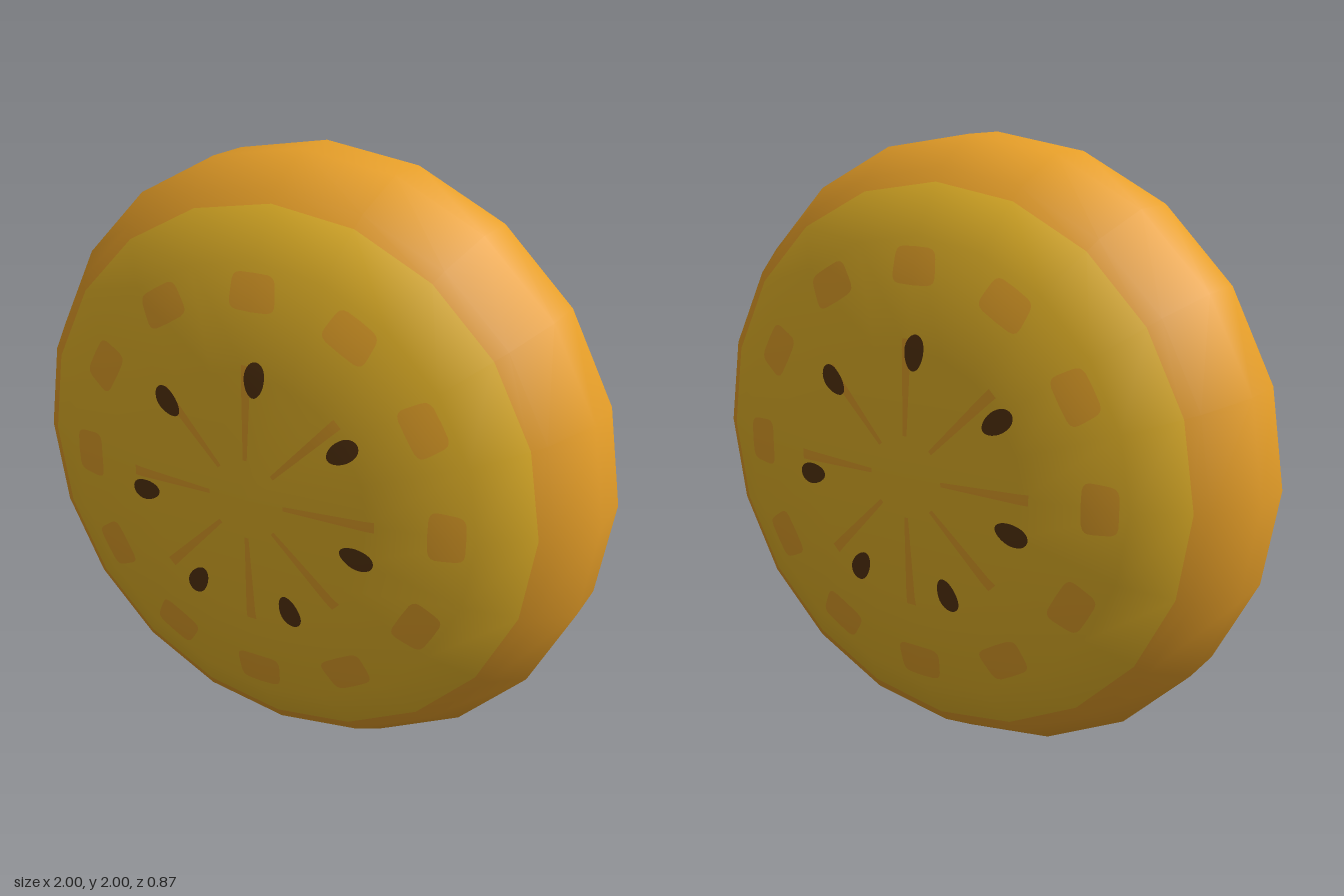
import * as THREE from 'three';

const SIDES = 20, FLESH_R = 0.87;
// half profile from centre of a face to the rim: [radius, depth]
const PROFILE = [[0, 0.435], [0.4, 0.412], [0.72, 0.352], [0.91, 0.23], [1, 0.08]];
const { lerp } = THREE.MathUtils;

const material = (name, color) => {
  const m = new THREE.MeshStandardMaterial({ color });
  m.name = name;
  return m;
};

// smooth profile normals, averaged from neighbouring segments
const segNormals = PROFILE.slice(1).map(([r, z], i) =>
  new THREE.Vector2(PROFILE[i][1] - z, r - PROFILE[i][0]).normalize());
segNormals.push(new THREE.Vector2(1, 0));
const normals = PROFILE.map((_, i) =>
  i === 0 ? new THREE.Vector2(0, 1) : segNormals[i - 1].clone().add(segNormals[i]).normalize());

// depth and normal of the face at a given profile radius
function sample(r) {
  let i = 0;
  while (i < PROFILE.length - 2 && r > PROFILE[i + 1][0]) i++;
  const [r0, z0] = PROFILE[i], [r1, z1] = PROFILE[i + 1];
  const t = Math.min(1, (r - r0) / (r1 - r0));
  return { z: lerp(z0, z1, t), n: normals[i].clone().lerp(normals[i + 1], t).normalize() };
}

// profile radius of a point on the many-sided body
function profileRadius(x, y) {
  const step = 2 * Math.PI / SIDES;
  const a = Math.atan2(y, x) + 2 * Math.PI;
  return Math.hypot(x, y) * Math.cos((a % step) - step / 2) / Math.cos(step / 2);
}

// rounded disc, split into rind and flesh
function makeBody(rind, flesh) {
  const half = [...PROFILE.slice(0, 3), [FLESH_R, sample(FLESH_R).z], ...PROFILE.slice(3)];
  const pts = [...half.map(([r, z]) => new THREE.Vector2(r, -z)),
    ...half.slice().reverse().map(([r, z]) => new THREE.Vector2(r, z))];
  const geo = new THREE.LatheGeometry(pts, SIDES);
  const pos = geo.attributes.position, nor = geo.attributes.normal;
  for (let i = 0; i < pos.count; i++) {
    const p = pts[i % pts.length], a = Math.floor(i / pts.length) / SIDES * 2 * Math.PI;
    const { n } = sample(p.x);
    nor.setXYZ(i, n.x * Math.sin(a), n.y * Math.sign(p.y), n.x * Math.cos(a));
  }
  const sets = [[], []], idx = geo.index.array;
  for (let i = 0; i < idx.length; i += 3) {
    const tri = [idx[i], idx[i + 1], idx[i + 2]];
    const inner = tri.every(v => pts[v % pts.length].x <= FLESH_R + 1e-6);
    sets[inner ? 1 : 0].push(...tri);
  }
  geo.setIndex([...sets[0], ...sets[1]]);
  geo.addGroup(0, sets[0].length, 0);
  geo.addGroup(sets[0].length, sets[1].length, 1);
  geo.rotateX(Math.PI / 2);
  const mesh = new THREE.Mesh(geo, [rind, flesh]);
  mesh.name = 'body';
  return mesh;
}

// painted patch that hugs the face; width(s) is its half width for s from -1 to 1
function makePatch(name, mat, angle, r0, r1, width, lift) {
  const geo = new THREE.PlaneGeometry(2, 2, 14, 8);
  const pos = geo.attributes.position, nor = geo.attributes.normal;
  const c = Math.cos(angle), sn = Math.sin(angle);
  for (let i = 0; i < pos.count; i++) {
    const s = Math.sin(pos.getX(i) * Math.PI / 2);
    const a = lerp(r0, r1, (s + 1) / 2), b = pos.getY(i) * width(s);
    const x = a * c - b * sn, y = a * sn + b * c;
    const { z, n } = sample(profileRadius(x, y));
    const h = Math.hypot(x, y);
    pos.setXYZ(i, x, y, z + lift);
    nor.setXYZ(i, n.x * x / h, n.x * y / h, n.y);
  }
  const mesh = new THREE.Mesh(geo, mat);
  mesh.name = name;
  return mesh;
}

const squareWidth = s => (0.075 - 0.004 * s) * Math.pow(Math.max(0, 1 - Math.abs(s) ** 5), 0.2);
const streakWidth = s => 0.012 + 0.005 * s;
const seedWidth = s => (0.034 + 0.004 * s) * Math.sqrt(Math.max(0, 1 - s * s));

export function createModel() {
  const rind = material('rind orange', 0xeea42a);
  const flesh = material('flesh yellow', 0xeebb2a);
  const mark = material('mark orange', 0xe6a329);
  const seed = material('seed brown', 0x57340f);

  const model = new THREE.Group();
  model.name = 'fruitSlice';
  const body = new THREE.Group();
  body.add(makeBody(rind, flesh));

  // markings of one cut face
  const face = new THREE.Group();
  face.name = 'frontMarkings';
  for (let i = 0; i < 12; i++)
    face.add(makePatch('segmentMark', mark, i * Math.PI / 6, 0.58, 0.692, squareWidth, 0.003));
  for (let i = 0; i < 8; i++)
    face.add(makePatch('streak', mark, i * Math.PI / 4, 0.13, 0.425, streakWidth, 0.003));
  for (let i = 0; i < 7; i++)
    face.add(makePatch('seed', seed, (85.7 - i * 360 / 7) * Math.PI / 180, 0.332, 0.442, seedWidth, 0.005));
  const back = face.clone();
  back.name = 'backMarkings';
  back.rotation.y = Math.PI;

  body.add(face, back);
  body.name = 'slice';
  body.position.y = 1;
  model.add(body);
  return model;
}
